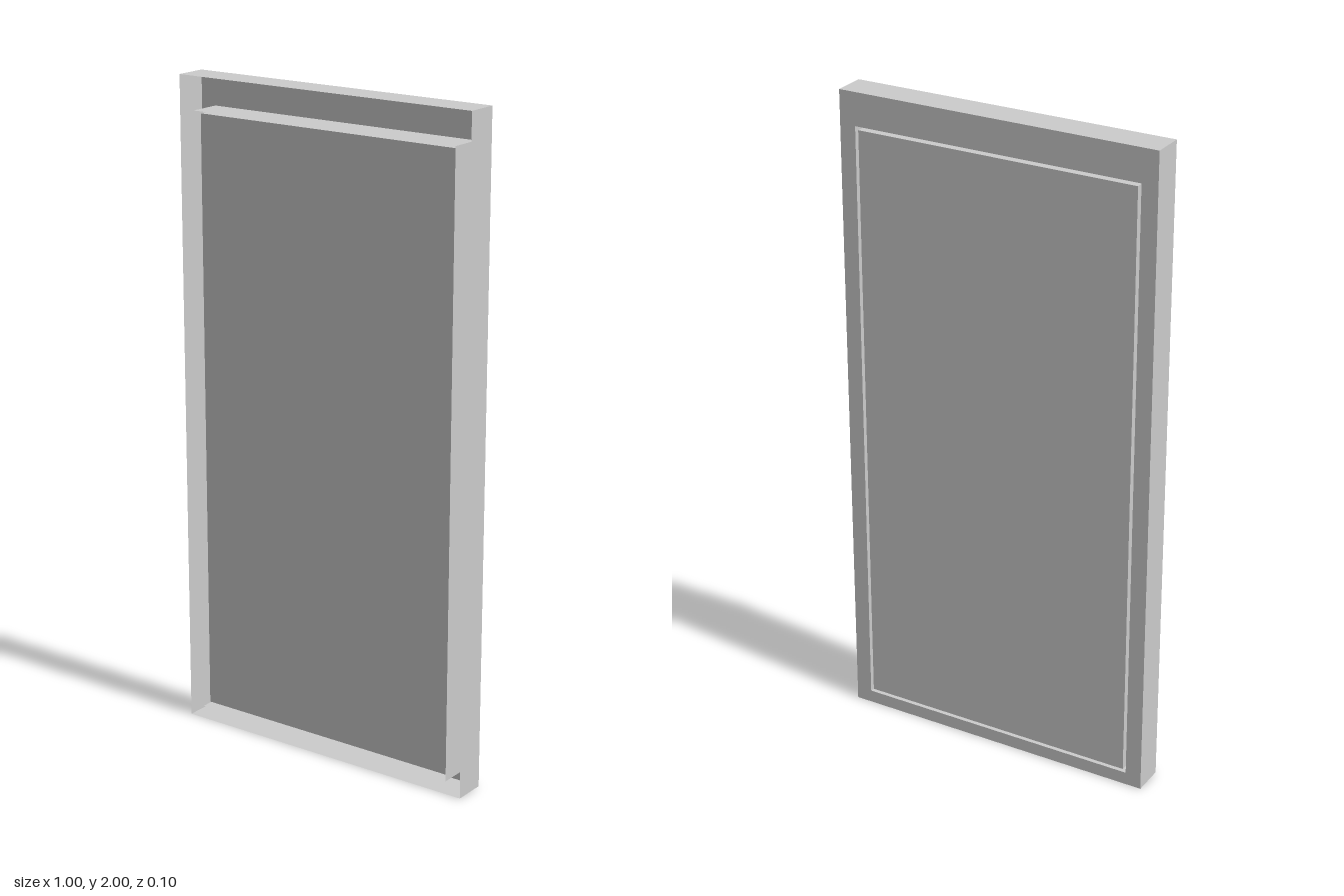
import * as THREE from 'three';

const DEPTH = 0.1;
const OUTER = { x: 0.5, bottom: 0, top: 2 };
const OPENING = { x: 0.45, bottom: 0.04, top: 1.9 };
const PANEL = { x: 0.44, bottom: 0.05, top: 1.89, back: -0.05, front: 0.03 };

function rectPath(path, r) {
  path.moveTo(-r.x, r.bottom);
  path.lineTo(r.x, r.bottom);
  path.lineTo(r.x, r.top);
  path.lineTo(-r.x, r.top);
  path.closePath();
  return path;
}

export function createModel() {
  const group = new THREE.Group();
  const solid = new THREE.MeshStandardMaterial({ color: 0xcccccc });
  const thin = new THREE.MeshStandardMaterial({ color: 0xcccccc, side: THREE.DoubleSide });

  const frame = new THREE.Group();
  frame.name = 'doorFrame';
  group.add(frame);

  // Back face of the hollow frame, with the door opening cut out
  const shape = rectPath(new THREE.Shape(), OUTER);
  shape.holes.push(rectPath(new THREE.Path(), OPENING));
  const backGeometry = new THREE.ShapeGeometry(shape);
  backGeometry.rotateY(Math.PI);
  const back = new THREE.Mesh(backGeometry, thin);
  back.name = 'frameBack';
  back.position.z = -DEPTH / 2;
  frame.add(back);

  // Thin walls around a rectangle; the frame is open at the front.
  // facing is 1 when the walls look outward, -1 when they look inward.
  function addWalls(name, r, facing) {
    const height = r.top - r.bottom;
    const middle = (r.top + r.bottom) / 2;
    for (const side of [-1, 1]) {
      const jamb = new THREE.Mesh(new THREE.PlaneGeometry(DEPTH, height), thin);
      jamb.name = name + (side > 0 ? 'Left' : 'Right');
      jamb.position.set(side * r.x, middle, 0);
      jamb.rotation.y = side * facing * Math.PI / 2;
      frame.add(jamb);

      const rail = new THREE.Mesh(new THREE.PlaneGeometry(r.x * 2, DEPTH), thin);
      rail.name = name + (side > 0 ? 'Top' : 'Bottom');
      rail.position.set(0, side > 0 ? r.top : r.bottom, 0);
      rail.rotation.x = -side * facing * Math.PI / 2;
      frame.add(rail);
    }
  }
  addWalls('outerWall', OUTER, 1);
  addWalls('openingWall', OPENING, -1);

  // Door leaf, flush at the back and slightly recessed at the front
  const panel = new THREE.Mesh(
    new THREE.BoxGeometry(PANEL.x * 2, PANEL.top - PANEL.bottom, PANEL.front - PANEL.back),
    solid
  );
  panel.name = 'doorPanel';
  panel.position.set(0, (PANEL.top + PANEL.bottom) / 2, (PANEL.front + PANEL.back) / 2);
  group.add(panel);

  return group;
}
